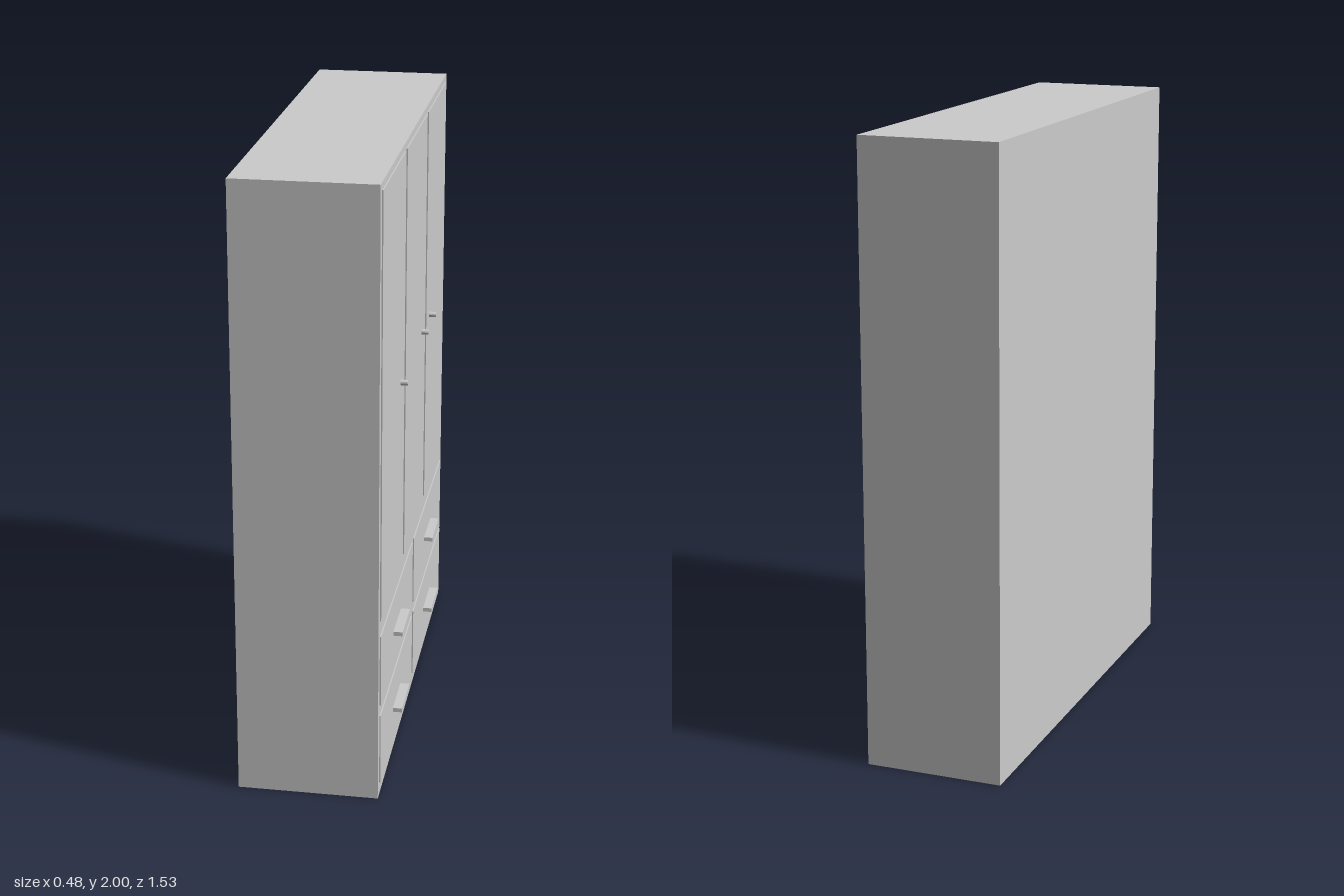
import * as THREE from 'three';

export function createModel() {
  const root = new THREE.Group();
  root.name = 'wardrobe';
  const material = new THREE.MeshStandardMaterial({ color: 0xcccccc, flatShading: true });

  // Box given by its limits on each axis
  function box(name, x0, x1, y0, y1, z0, z1) {
    const mesh = new THREE.Mesh(new THREE.BoxGeometry(x1 - x0, y1 - y0, z1 - z0), material);
    mesh.position.set((x0 + x1) / 2, (y0 + y1) / 2, (z0 + z1) / 2);
    mesh.name = name;
    root.add(mesh);
  }

  const back = -0.242, face = 0.208, panelFace = 0.212;

  // Carcass
  box('carcass', back, face, 0, 2, -0.766, 0.766);

  // Three tall doors, each with a round knob
  const doors = [
    { z0: 0.275, z1: 0.738, knob: 0.35 },
    { z0: -0.231, z1: 0.235, knob: -0.153 },
    { z0: -0.735, z1: -0.267, knob: -0.343 },
  ];
  for (const { z0, z1, knob } of doors) {
    box('door', face - 0.01, panelFace, 0.61, 1.977, z0, z1);
    const mesh = new THREE.Mesh(new THREE.CylinderGeometry(0.009, 0.009, 0.03, 12), material);
    mesh.rotation.z = -Math.PI / 2;
    mesh.position.set(0.221, 1.254, knob);
    mesh.name = 'doorKnob';
    root.add(mesh);
  }

  // Two rows of two drawers, each with a bar handle
  const rows = [
    { y0: 0.042, y1: 0.28, handle: 0.158 },
    { y0: 0.318, y1: 0.556, handle: 0.435 },
  ];
  const columns = [
    { z0: 0.02, z1: 0.738, handle: 0.383 },
    { z0: -0.735, z1: -0.013, handle: -0.369 },
  ];
  for (const row of rows) {
    for (const col of columns) {
      box('drawerFront', face - 0.01, panelFace, row.y0, row.y1, col.z0, col.z1);
      box('drawerHandle', face, 0.242, row.handle - 0.007, row.handle + 0.007,
        col.handle - 0.087, col.handle + 0.087);
    }
  }

  return root;
}
